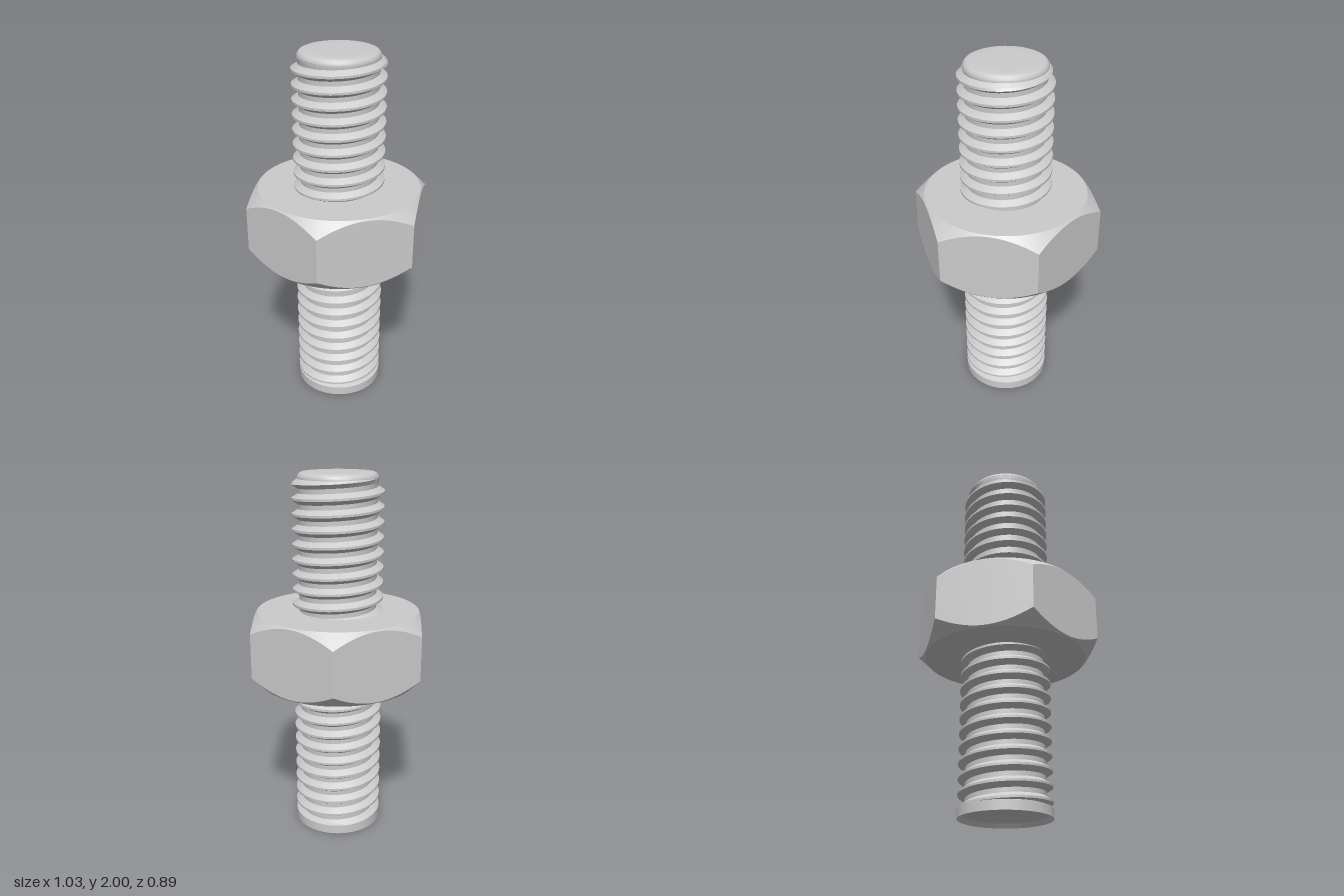
import * as THREE from 'three';
import { toCreasedNormals } from 'three/addons/utils/BufferGeometryUtils.js';

const CREST = 0.245, ROOT = 0.21, PITCH = 0.08;
const THREAD_BOTTOM = 0.03, THREAD_TOP = 1.97;
const material = new THREE.MeshStandardMaterial({ color: 0xcccccc });

function lathe(points, segments) {
  return new THREE.LatheGeometry(points.map(([r, y]) => new THREE.Vector2(r, y)), segments);
}

function part(name, geometry) {
  const mesh = new THREE.Mesh(geometry, material);
  mesh.name = name;
  return mesh;
}

// Right-handed helical thread: each facet of the V profile is one long ribbon
function threadGeometry() {
  const profile = [[-0.012, ROOT], [0.012, ROOT], [0.034, CREST], [0.046, CREST], [0.068, ROOT]];
  const segments = 64, turns = 27, steps = segments * turns;
  const positions = [], index = [];
  for (let f = 0; f < profile.length - 1; f++) {
    const base = positions.length / 3;
    for (let i = 0; i <= steps; i++) {
      const angle = (i / segments) * Math.PI * 2;
      for (const [offset, radius] of [profile[f], profile[f + 1]]) {
        const rise = PITCH * (i / segments - 1.5) + 0.047 + offset;
        const y = THREE.MathUtils.clamp(rise, THREAD_BOTTOM, THREAD_TOP);
        // Crests are trimmed by the chamfer at the top of the rod
        const r = Math.min(radius, 0.215 + THREAD_TOP - y);
        // Half a turn of phase matches the half-turn start of the rise
        positions.push(-r * Math.sin(angle), y, -r * Math.cos(angle));
      }
      if (i < steps) {
        const a = base + i * 2;
        index.push(a, a + 2, a + 3, a, a + 3, a + 1);
      }
    }
  }
  const geometry = new THREE.BufferGeometry();
  geometry.setAttribute('position', new THREE.Float32BufferAttribute(positions, 3));
  geometry.setIndex(index);
  geometry.computeVertexNormals();
  return geometry;
}

// Hexagonal prism whose corners are cut by a cone above and below
function nutGeometry() {
  const bottom = 0.87, top = 1.265, apothem = 0.447, faceRadius = 0.44;
  const geometry = lathe([
    [0, bottom], [faceRadius, bottom], [1, bottom], [1, top], [faceRadius, top], [0, top],
  ], 96);
  const p = geometry.attributes.position;
  const sixth = Math.PI / 3;
  for (let i = 0; i < p.count; i++) {
    const x = p.getX(i), z = p.getZ(i);
    if (Math.hypot(x, z) < 0.9) continue;
    const angle = Math.atan2(x, z);
    const r = apothem / Math.cos(angle - Math.round(angle / sixth) * sixth);
    const drop = r - faceRadius;
    const y = p.getY(i) > 1 ? top - drop : bottom + drop;
    p.setXYZ(i, r * Math.sin(angle), y, r * Math.cos(angle));
  }
  return toCreasedNormals(geometry, 0.4);
}

export function createModel() {
  const group = new THREE.Group();
  group.name = 'threadedRodWithNut';

  group.add(part('rodThread', threadGeometry()));

  // Softly rounded upper end
  group.add(part('rodTop', lathe([
    [0.209, 1.94], [0.215, 1.965], [0.212, 1.98], [0.203, 1.992], [0.19, 1.998], [0.14, 2], [0, 2],
  ], 64)));

  // Plain band at the foot, with a shallow hollow underneath
  group.add(part('rodFoot', toCreasedNormals(lathe([
    [0, 0.035], [0.12, 0.034], [0.19, 0.03], [0.225, 0.022], [0.242, 0],
    [CREST, 0], [CREST, 0.05], [ROOT - 0.005, 0.065],
  ], 64), 0.5)));

  group.add(part('hexNut', nutGeometry()));
  return group;
}
